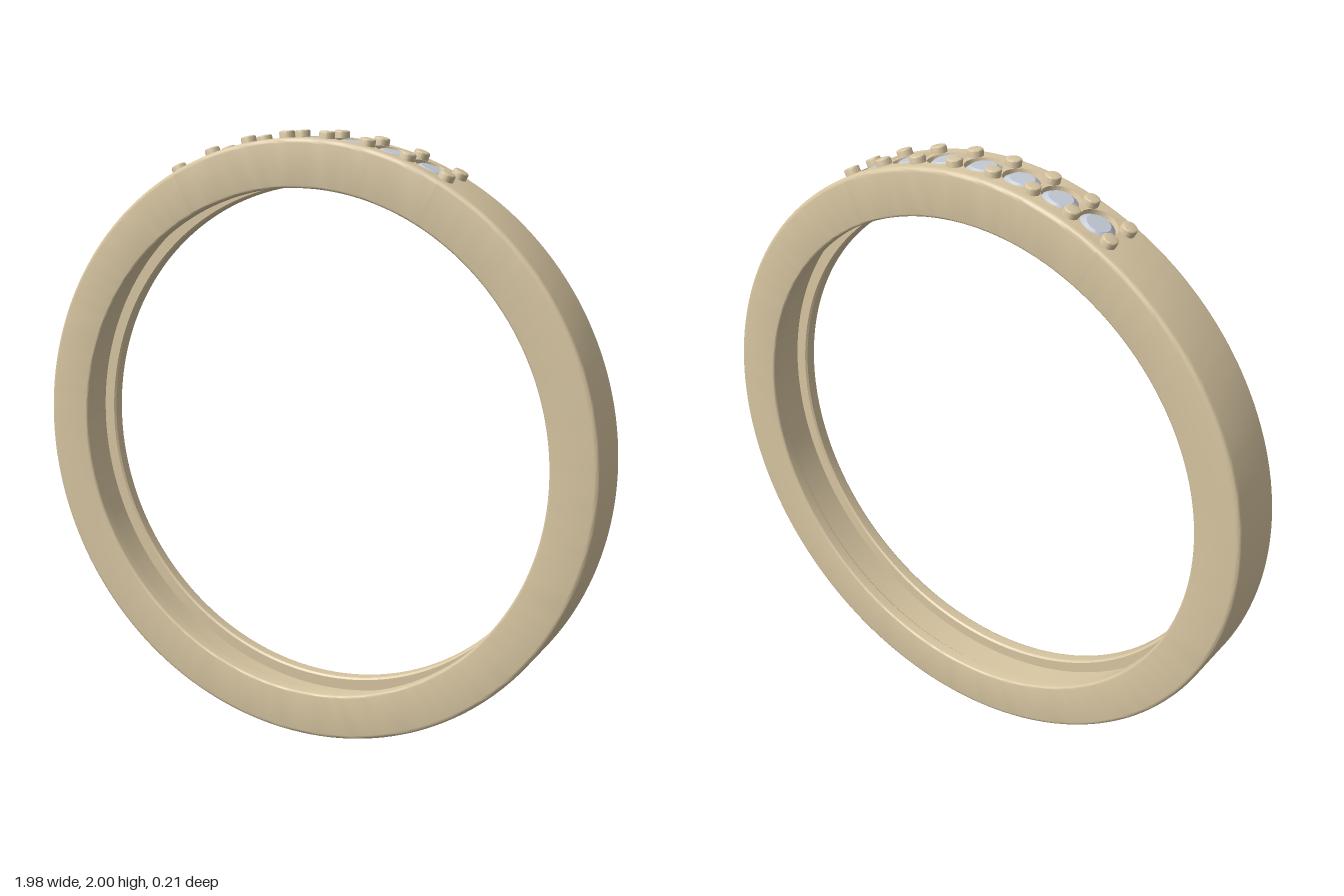
import * as THREE from 'three';
import { mergeGeometries, toCreasedNormals } from 'three/addons/utils/BufferGeometryUtils.js';

const R = 0.99;            // outer radius of the band
const INNER = 0.837;       // radius of the finger hole
const FLOOR = 0.88;        // radius of the inside channel floor
const HALF = 0.107;        // half width of the band
const PLATE = 0.09;        // half width of the pierced plate
const CHANNEL = 0.062;     // half width of the inside channel
const STONES = 7;
const DEG = Math.PI / 180;
const STEP = 8 * DEG;      // angle between stones
const SEAT = 0.06;         // radius of each seat opening
const CREASE = 32 * DEG;

const V = (x, y) => new THREE.Vector2(x, y);

// Quarter-round corner, from angle a0 to a1 in degrees
function corner(cx, cy, r, a0, a1, n = 4) {
  return Array.from({ length: n + 1 }, (_, i) => {
    const a = (a0 + (a1 - a0) * i / n) * DEG;
    return V(cx + r * Math.cos(a), cy + r * Math.sin(a));
  });
}

// Sweep a (radius, z) profile around the z axis
function sweep(points, startDeg, lengthDeg) {
  const g = new THREE.LatheGeometry(points, lengthDeg / 2, startDeg * DEG, lengthDeg * DEG);
  g.rotateX(Math.PI / 2);
  return toCreasedNormals(g, CREASE);
}

// Curved plate with a tapering seat hole under every stone
function piercedPlate() {
  const half = R * STEP / 2, n = 4, cells = [];
  const outline = [];
  for (let i = 0; i <= n; i++) outline.push(V(-half + 2 * half * i / n, -PLATE));
  for (let i = 0; i <= n; i++) outline.push(V(half - 2 * half * i / n, PLATE));
  for (let k = 0; k < STONES; k++) {
    const shape = new THREE.Shape(outline);
    const hole = new THREE.Path();
    hole.absarc(0, 0, SEAT, 0, Math.PI * 2, true);
    shape.holes.push(hole);
    const g = new THREE.ExtrudeGeometry(shape, { depth: R - FLOOR, bevelEnabled: false, curveSegments: 32 });
    const p = g.attributes.position;
    for (let i = 0; i < p.count; i++) {
      let x = p.getX(i), y = p.getY(i);
      const z = p.getZ(i);
      if (z < 0.001 && Math.hypot(x, y) < SEAT + 0.001) { x *= 0.6; y *= 0.6; }
      const a = x / R + (k - (STONES - 1) / 2) * STEP, r = FLOOR + z;
      p.setXYZ(i, r * Math.sin(a), r * Math.cos(a), -y);
    }
    cells.push(g);
  }
  return toCreasedNormals(mergeGeometries(cells), CREASE);
}

export function createModel() {
  const gold = new THREE.MeshStandardMaterial({ color: 0xd8c6a2 });
  gold.name = 'pale gold';
  const crystal = new THREE.MeshStandardMaterial({ color: 0xc4cbd6 });
  crystal.name = 'clear crystal';

  const model = new THREE.Group();
  model.name = 'ring';
  const body = new THREE.Group();
  body.name = 'ringBody';
  body.position.y = R;
  model.add(body);
  const add = (name, geometry, material, parent = body) => {
    const m = new THREE.Mesh(geometry, material);
    m.name = name;
    parent.add(m);
    return m;
  };

  // Band section: rounded shoulders and a hollow channel inside
  const side = [
    V(R, PLATE),
    ...corner(R - 0.015, HALF - 0.015, 0.015, 0, 90),
    ...corner(INNER + 0.008, HALF - 0.008, 0.008, 90, 180),
    V(INNER, CHANNEL + 0.006),
    V(INNER + 0.006, CHANNEL),
    V(FLOOR, CHANNEL),
  ];
  const otherSide = side.map(p => V(p.x, -p.y)).reverse();
  const span = STONES * STEP / DEG;
  add('band', sweep([...otherSide, ...side, otherSide[0].clone()], -(180 - span / 2), 360 - span), gold);
  add('frontRail', sweep(side, 180 - span / 2, span), gold);
  add('backRail', sweep(otherSide, 180 - span / 2, span), gold);
  add('stoneSeats', piercedPlate(), gold);

  // Round cut stones, sunk level with the band
  const stone = toCreasedNormals(new THREE.LatheGeometry(
    [V(0, 0.93), V(0.057, 0.966), V(0.058, 0.974), V(0.038, 0.988), V(0, 0.988)], 32), 25 * DEG);
  const stones = new THREE.Group();
  stones.name = 'stones';
  body.add(stones);
  for (let k = 0; k < STONES; k++) {
    add('stone', stone, crystal, stones).rotation.z = -(k - (STONES - 1) / 2) * STEP;
  }

  // Pairs of round prongs between the stones
  const prong = toCreasedNormals(new THREE.LatheGeometry(
    [V(0, 0.95), V(0.025, 0.95), ...corner(0.019, 1.006, 0.006, 0, 90, 3), V(0, 1.012)], 20), CREASE);
  const prongs = new THREE.Group();
  prongs.name = 'prongs';
  body.add(prongs);
  for (let k = 0; k <= STONES; k++) {
    for (const s of [-1, 1]) {
      const m = add('prong', prong, gold, prongs);
      m.rotation.z = -(k - STONES / 2) * STEP;
      m.position.z = s * 0.052;
    }
  }
  return model;
}
